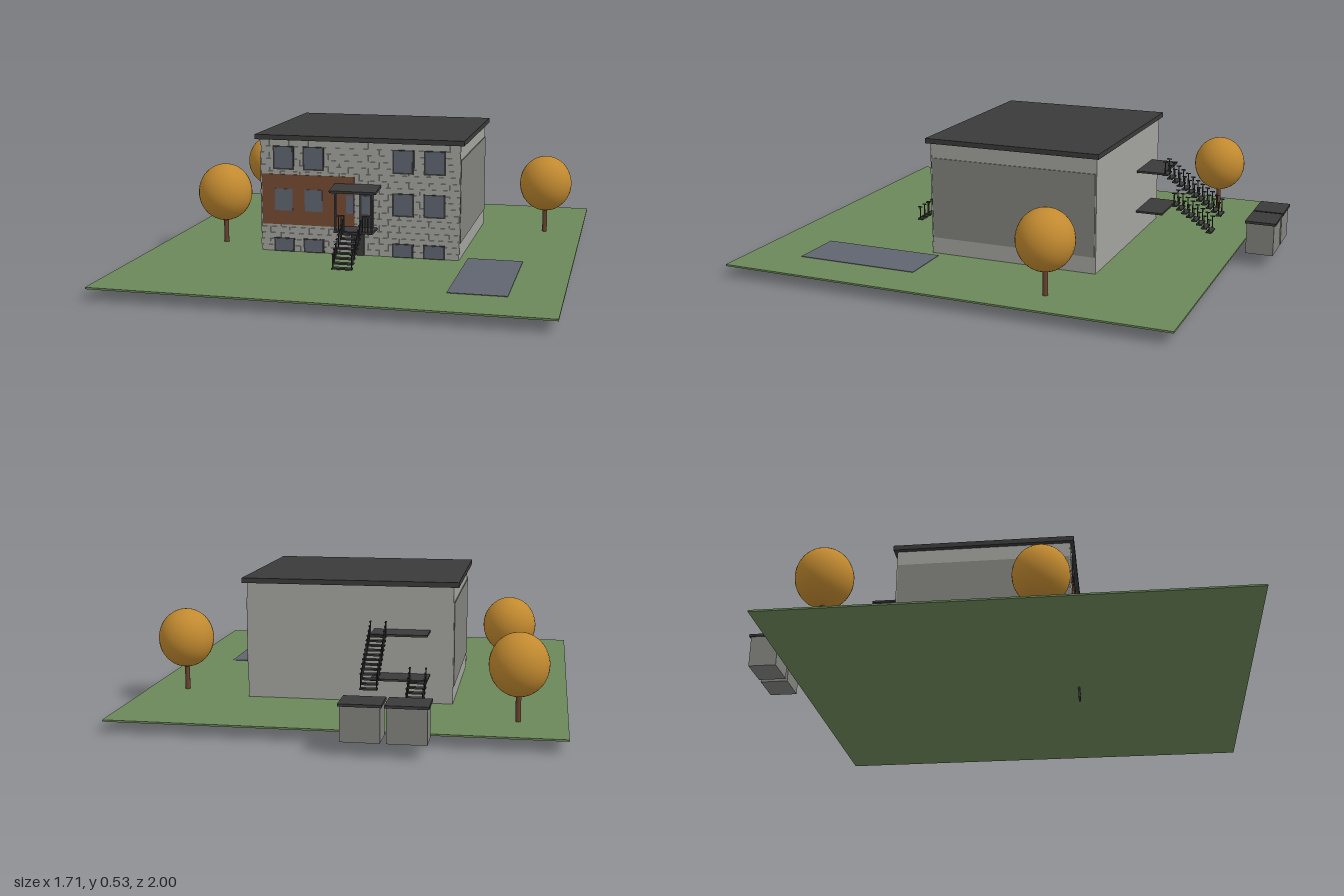
import * as THREE from 'three';
import { mergeGeometries } from 'three/addons/utils/BufferGeometryUtils.js';

const mat = (name, color) => {
  const m = new THREE.MeshStandardMaterial({ color });
  m.name = name;
  return m;
};

// box geometry given by its minimum and maximum on each axis
const span = (x0, x1, y0, y1, z0, z1) =>
  new THREE.BoxGeometry(x1 - x0, y1 - y0, z1 - z0)
    .translate((x0 + x1) / 2, (y0 + y1) / 2, (z0 + z1) / 2);

export function createModel() {
  const root = new THREE.Group();
  root.name = 'apartmentBlock';
  const grass = mat('grass green', 0x6c885a);
  const wall = mat('wall grey', 0xa3a39e);
  const panel = mat('panel grey', 0x82827e);
  const dark = mat('dark metal', 0x3a3a3a);
  const brown = mat('brown cladding', 0x754a32);
  const glass = mat('glass blue grey', 0x5f6570);
  const leaf = mat('autumn leaves', 0xc28a30);
  const bark = mat('bark', 0x6a442f);

  const add = (name, geometry, material, parent = root) => {
    const m = new THREE.Mesh(geometry, material);
    m.name = name;
    parent.add(m);
    return m;
  };

  // site
  const G = 0.05;
  add('lawn', span(-0.855, 0.855, 0.043, G, -0.84, 1), grass);
  add('parkingPad', span(0.44, 0.66, G - 0.002, G + 0.002, 0.265, 0.775), glass);

  // building body, side panels and roof
  add('walls', span(-0.41, 0.41, G, 0.517, -0.4, 0.302), wall);
  for (const s of [-1, 1]) {
    add('sidePanel', span(-0.003, 0.003, 0.118, 0.45, -0.395, 0.3), panel).position.x = s * 0.411;
  }
  add('roof', span(-0.43, 0.428, 0.512, 0.532, -0.413, 0.32), dark);

  // staggered brick courses on the front wall
  const bricks = [];
  const rows = 18, rowH = (0.512 - G) / rows, brickW = 0.0826;
  for (let r = 0; r < rows; r++) {
    const edge = r % 2 ? 0.413 : 0.409;
    const shift = r % 2 ? brickW / 2 : 0;
    for (let x = -edge - shift; x < edge; x += brickW) {
      const a = Math.max(x, -edge), b = Math.min(x + brickW - 0.002, edge);
      if (b - a > 0.005) {
        bricks.push(span(a, b, G + r * rowH, G + (r + 1) * rowH - 0.002, 0.3, 0.306));
      }
    }
  }
  add('brickFacing', mergeGeometries(bricks), wall);
  add('brownCladding', span(-0.405, -0.017, 0.162, 0.37, 0.301, 0.309), brown);

  // windows: framed on brick, frameless on the cladding
  const windowAt = (x, w, y0, y1, framed) => {
    const g = new THREE.Group();
    g.name = 'window';
    root.add(g);
    const h = w / 2, f = framed ? 0.007 : 0;
    if (framed) add('windowFrame', span(x - h, x + h, y0, y1, 0.302, 0.31), dark, g);
    add('windowGlass', span(x - h + f, x + h - f, y0 + f, y1 - f / 2, 0.304, 0.312), glass, g);
  };
  for (const x of [-0.313, -0.187, 0.183, 0.31]) {
    windowAt(x, 0.088, 0.39, 0.486, true);
    windowAt(x, x < 0 ? 0.074 : 0.088, x < 0 ? 0.221 : 0.217, 0.311, x > 0);
    windowAt(x, 0.088, 0.047, 0.106, true);
  }
  windowAt(-0.035, 0.032, 0.22, 0.295, false);

  // doors
  add('entranceDoor', span(0.002, 0.064, 0.165, 0.31, 0.302, 0.31), dark);
  add('entranceDoorGlass', span(0.013, 0.053, 0.22, 0.295, 0.306, 0.312), glass);
  add('basementDoor', span(-0.03, 0.024, 0, 0.15, 0.304, 0.312), dark);

  // flight of open treads with a post and cap on both sides of each step;
  // runs along dir from (z0, y0) to (z1, y1)
  const stairs = (name, x0, x1, z0, y0, z1, y1, count) => {
    const parts = [];
    const dz = (z1 - z0) / count, dy = (y1 - y0) / count;
    for (let i = 0; i < count; i++) {
      const z = z0 + (i + 0.5) * dz, y = y0 + (i + 0.5) * dy;
      const d = Math.abs(dz) / 2 + 0.001;
      parts.push(span(x0, x1, y - 0.003, y + 0.003, z - d, z + d));
      for (const x of [x0 + 0.003, x1 - 0.003]) {
        parts.push(span(x - 0.002, x + 0.002, y, y + 0.056, z - 0.002, z + 0.002));
        parts.push(span(x - 0.003, x + 0.003, y + 0.054, y + 0.058, z - d * 0.8, z + d * 0.8));
      }
    }
    add(name, mergeGeometries(parts), dark);
  };

  // front porch
  add('porchFloor', span(-0.08, 0.078, 0.159, 0.167, 0.3, 0.402), dark);
  const canopy = add('porchCanopy', span(-0.097, 0.093, -0.005, 0.005, -0.05, 0.05), dark);
  canopy.position.set(0, 0.331, 0.354);
  canopy.rotation.x = 0.13;
  const rail = [];
  for (const s of [-1, 1]) {
    rail.push(span(s * 0.073 - 0.004, s * 0.073 + 0.004, 0.163, 0.326, 0.393, 0.401));
    for (let i = 0; i < 4; i++) {
      const x = s * (0.038 + i * 0.011);
      rail.push(span(x - 0.002, x + 0.002, 0.163, 0.23, 0.395, 0.399));
    }
    const a = s * 0.036, b = s * 0.076;
    rail.push(span(Math.min(a, b), Math.max(a, b), 0.227, 0.232, 0.394, 0.4));
  }
  add('porchPostsAndRail', mergeGeometries(rail), dark);
  stairs('frontStairs', -0.042, 0.038, 0.4, 0.167, 0.573, 0.052, 8);

  // rear escape landings and flights
  for (const y of [0.163, 0.338]) {
    add('rearLanding', span(-0.32, -0.1, y - 0.004, y + 0.004, -0.515, -0.398), dark);
  }
  stairs('upperRearStairs', -0.165, -0.1, -0.512, 0.342, -0.765, 0.178, 12);
  stairs('lowerRearStairs', -0.32, -0.252, -0.512, 0.167, -0.692, 0.052, 8);

  // storage bins
  for (const x of [-0.302, -0.138]) {
    const bin = new THREE.Group();
    bin.name = 'bin';
    bin.position.x = x;
    root.add(bin);
    add('binBody', span(-0.071, 0.071, G, 0.18, -0.993, -0.881), panel, bin);
    add('binLid', span(-0.077, 0.077, 0.178, 0.188, -1, -0.875), dark, bin);
  }

  // trees
  for (const [x, z] of [[-0.67, -0.62], [0.695, -0.305], [-0.605, 0.2]]) {
    const tree = new THREE.Group();
    tree.name = 'tree';
    tree.position.set(x, 0, z);
    root.add(tree);
    add('trunk', new THREE.CylinderGeometry(0.01, 0.01, 0.13, 16).translate(0, 0.113, 0), bark, tree);
    add('crown', new THREE.SphereGeometry(0.112, 32, 24).scale(1, 1.07, 1).translate(0, 0.265, 0), leaf, tree);
  }
  return root;
}
